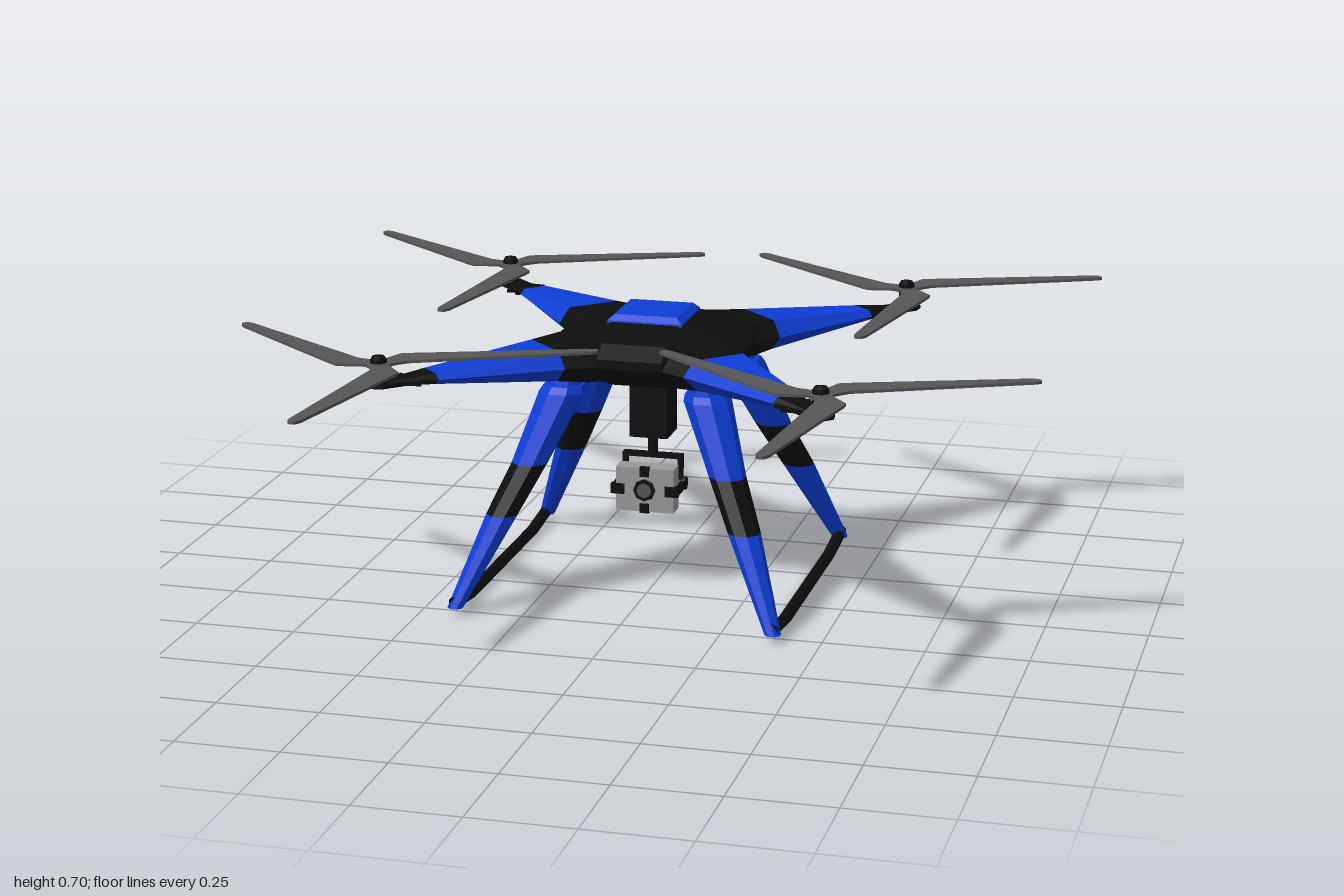
import * as THREE from 'three';

const mat = (name, color) => {
  const m = new THREE.MeshStandardMaterial({ color });
  m.name = name;
  return m;
};

// Faceted solid through a list of rings; each ring runs counter-clockwise seen from the far end.
function loft(rings) {
  const pos = [];
  const tri = (a, b, c) => pos.push(...a, ...b, ...c);
  const n = rings[0].length;
  for (let k = 0; k < rings.length - 1; k++) {
    const a = rings[k], b = rings[k + 1];
    for (let i = 0; i < n; i++) {
      const j = (i + 1) % n;
      tri(a[i], a[j], b[i]);
      tri(a[j], b[j], b[i]);
    }
  }
  const s = rings[0], e = rings[rings.length - 1];
  for (let i = 1; i < n - 1; i++) {
    tri(s[0], s[i + 1], s[i]);
    tri(e[0], e[i], e[i + 1]);
  }
  const g = new THREE.BufferGeometry();
  g.setAttribute('position', new THREE.Float32BufferAttribute(pos, 3));
  g.computeVertexNormals();
  return g;
}

// Cross-sections
const armRing = ([s, w, yt, yb]) => {
  const ym = (yt + yb) / 2;
  return [[s, yt, -0.7 * w], [s, yt, 0.7 * w], [s, ym, w], [s, yb, 0.6 * w], [s, yb, -0.6 * w], [s, ym, -w]];
};
const legRing = ([cx, y, r]) => Array.from({ length: 8 }, (_, i) => {
  const a = (i + 0.5) * Math.PI / 4;
  return [cx + r * Math.cos(a) * 1.06, y, -r * Math.sin(a) * 1.06];
});
const bodyRing = ([y, h, c]) => [[h, y, c], [h, y, -c], [c, y, -h], [-c, y, -h],
  [-h, y, -c], [-h, y, c], [-c, y, h], [c, y, h]];
const skidRing = ([z, y]) => Array.from({ length: 8 }, (_, i) => {
  const a = (i + 0.5) * Math.PI / 4;
  return [0.015 * Math.cos(a), y + 0.015 * Math.sin(a), z];
});

export function createModel() {
  const black = mat('black plastic', 0x0d0d0d);
  const blue = mat('blue shell', 0x0d3dd6);
  const grey = mat('propeller grey', 0x555555);
  const silver = mat('camera grey', 0x999999);

  const model = new THREE.Group();
  model.name = 'quadcopter';
  const root = new THREE.Group();
  root.name = 'airframe';
  root.position.set(-0.013, 0, -0.122);
  model.add(root);

  const add = (parent, name, geo, material, x = 0, y = 0, z = 0) => {
    const m = new THREE.Mesh(geo, material);
    m.name = name;
    m.position.set(x, y, z);
    parent.add(m);
    return m;
  };
  const box = (w, h, d) => new THREE.BoxGeometry(w, h, d);

  // Central hull and its raised top cap
  add(root, 'hull', loft([[0.545, 0.16, 0.07], [0.57, 0.205, 0.08], [0.605, 0.241, 0.08], [0.628, 0.241, 0.08],
    [0.657, 0.195, 0.08], [0.686, 0.105, 0.07]].map(bodyRing)), black);
  add(root, 'topCap', loft([[0.68, 0.096, 0.094], [0.69, 0.094, 0.092], [0.703, 0.08, 0.078]].map(bodyRing)), blue);

  // Arm sections: distance, half width, top, bottom
  const armRoot = loft([[0.12, 0.1, 0.672, 0.55], [0.227, 0.113, 0.654, 0.56], [0.307, 0.099, 0.648, 0.572]].map(armRing));
  const armShell = loft([[0.307, 0.099, 0.648, 0.572], [0.62, 0.044, 0.627, 0.6]].map(armRing));
  const armTip = loft([[0.62, 0.044, 0.627, 0.6], [0.74, 0.02, 0.617, 0.607]].map(armRing));

  // Leg sections: distance, height, radius
  const legLower = loft([[0.563, 0.02, 0.019], [0.43, 0.24, 0.038]].map(legRing));
  const legBand = loft([[0.43, 0.24, 0.038], [0.352, 0.36, 0.043]].map(legRing));
  const legUpper = loft([[0.352, 0.36, 0.043], [0.258, 0.53, 0.056], [0.252, 0.547, 0.05]].map(legRing));
  const legSocket = loft([[0.252, 0.54, 0.04], [0.238, 0.595, 0.038]].map(legRing));

  // Barbed motor mount plate
  const mountShape = new THREE.Shape([[0.63, 0.012], [0.635, 0.05], [0.665, 0.038], [0.672, 0.056], [0.7, 0.034],
    [0.73, 0.034], [0.765, 0.034], [0.79, 0.015], [0.79, -0.015], [0.765, -0.034], [0.73, -0.034], [0.7, -0.034],
    [0.672, -0.056], [0.665, -0.038], [0.635, -0.05], [0.63, -0.012]].map(p => new THREE.Vector2(...p)));
  const mountPlate = new THREE.ExtrudeGeometry(mountShape, { depth: 0.008, bevelEnabled: false }).rotateX(Math.PI / 2);

  // Motor with domed cap
  const motor = new THREE.LatheGeometry([[0, 0.607], [0.02, 0.607], [0.02, 0.672], [0.015, 0.681], [0, 0.685]]
    .map(p => new THREE.Vector2(...p)), 16);

  // One blade of the propeller, lying along +z
  const bladeShape = new THREE.Shape([[-0.025, 0], [0.028, 0.012], [0.073, 0.068], [0.072, 0.085], [0.05, 0.21],
    [-0.004, 0.515], [-0.014, 0.532], [-0.03, 0.53], [-0.034, 0.515], [0.002, 0.07], [-0.008, 0.04]]
    .map(p => new THREE.Vector2(...p)));
  const blade = new THREE.ExtrudeGeometry(bladeShape, { depth: 0.007, bevelEnabled: false }).rotateX(Math.PI / 2);
  const propHub = new THREE.CylinderGeometry(0.032, 0.032, 0.009, 12);

  for (let k = 0; k < 4; k++) {
    const a = Math.PI / 4 + k * Math.PI / 2;
    const arm = new THREE.Group();
    arm.name = 'armAndLeg';
    arm.rotation.y = a;
    root.add(arm);
    add(arm, 'armRoot', armRoot, black);
    add(arm, 'armShell', armShell, blue);
    add(arm, 'armTip', armTip, black);
    add(arm, 'motorMount', mountPlate, black, 0, 0.616);
    add(arm, 'motor', motor, black, 0.756);
    add(arm, 'lowerLeg', legLower, blue);
    add(arm, 'legBand', legBand, black);
    add(arm, 'upperLeg', legUpper, blue);
    add(arm, 'legSocket', legSocket, blue);

    // All propellers share the same orientation
    const prop = new THREE.Group();
    prop.name = 'propeller';
    prop.position.set(0.756 * Math.cos(a), 0.661, -0.756 * Math.sin(a));
    root.add(prop);
    add(prop, 'propellerHub', propHub, grey);
    for (let i = 0; i < 3; i++) {
      add(prop, 'blade', blade, grey, 0, 0.0035).rotation.y = i * Math.PI * 2 / 3;
    }
  }

  // Landing skids
  const skid = loft([[-0.405, 0.034], [-0.395, 0.03], [-0.26, 0.015], [0.26, 0.015], [0.395, 0.03], [0.405, 0.034]].map(skidRing));
  for (const s of [-1, 1]) add(root, 'skid', skid, black, s * 0.398);

  // Camera gimbal
  const gimbal = new THREE.Group();
  gimbal.name = 'gimbal';
  root.add(gimbal);
  add(gimbal, 'gimbalHousing', box(0.097, 0.17, 0.097), black, 0, 0.47, 0.008);
  add(gimbal, 'gimbalRod', new THREE.CylinderGeometry(0.013, 0.013, 0.07, 12), black, 0, 0.36, 0.008);
  add(gimbal, 'gimbalCrossbar', box(0.152, 0.01, 0.024), black, 0, 0.329, 0.008);
  for (const s of [-1, 1]) {
    add(gimbal, 'gimbalSide', box(0.01, 0.075, 0.024), black, s * 0.071, 0.294, 0.008);
    add(gimbal, 'gimbalJoint', new THREE.CylinderGeometry(0.017, 0.017, 0.024, 12).rotateZ(Math.PI / 2), black, s * 0.074, 0.26, 0.008);
    add(gimbal, 'gimbalArm', box(0.012, 0.018, 0.085), black, s * 0.081, 0.26, 0.05);
    add(gimbal, 'sideClamp', box(0.034, 0.026, 0.014), black, s * 0.069, 0.26, 0.09);
    add(gimbal, 'edgeClamp', box(0.024, 0.024, 0.014), black, 0, 0.26 + s * 0.047, 0.09);
  }

  // Camera body and lens
  add(gimbal, 'cameraBody', box(0.148, 0.112, 0.05), silver, 0, 0.26, 0.067);
  add(gimbal, 'lensRing', new THREE.CylinderGeometry(0.028, 0.028, 0.012, 8).rotateX(Math.PI / 2), black, 0, 0.26, 0.092);
  add(gimbal, 'lensFace', new THREE.CylinderGeometry(0.019, 0.019, 0.006, 8).rotateX(Math.PI / 2), grey, 0, 0.26, 0.097);

  return model;
}
